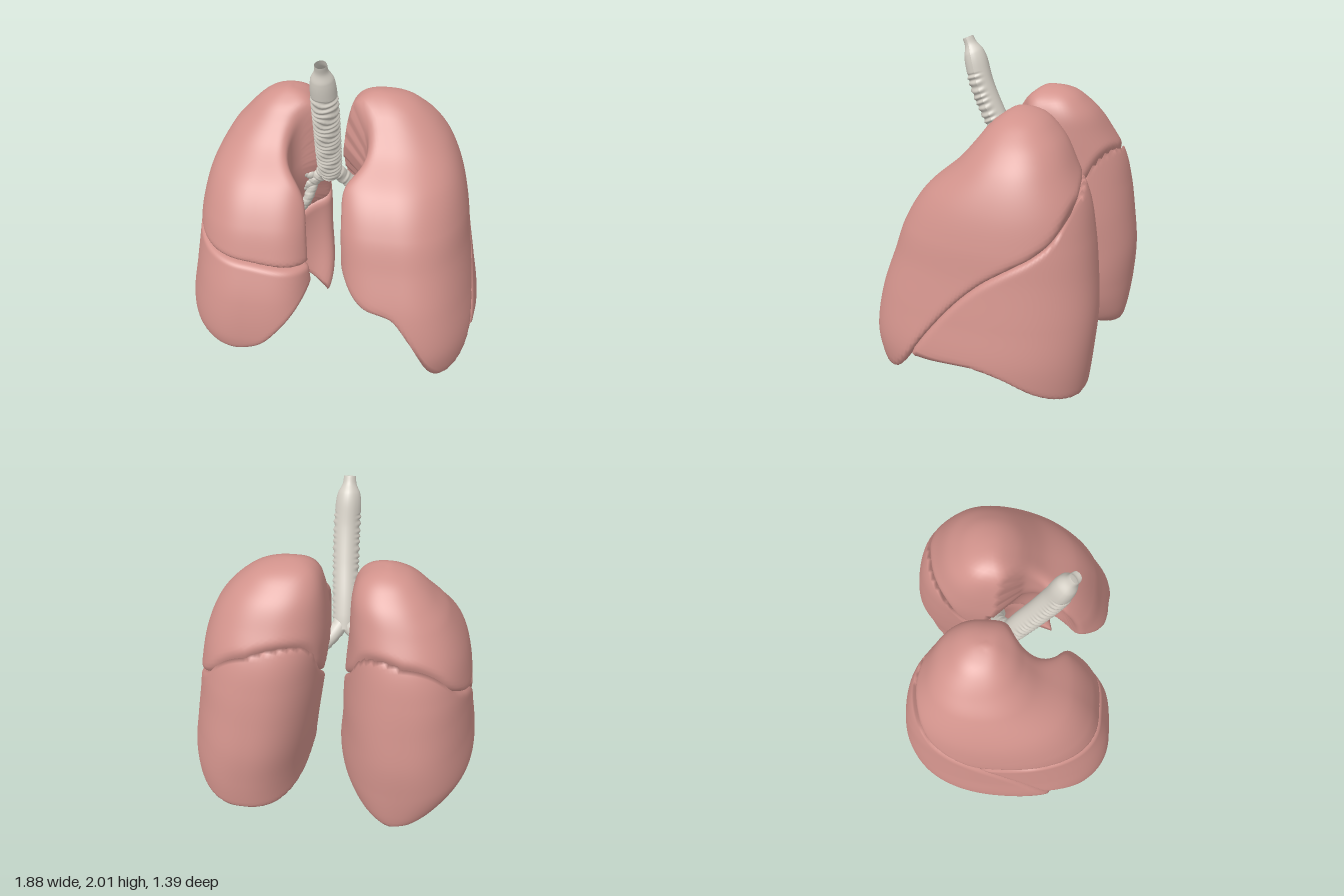
import * as THREE from 'three';
import { mergeVertices } from 'three/addons/utils/BufferGeometryUtils.js';

const lungMat = new THREE.MeshStandardMaterial({ color: 0xd2938c, side: THREE.DoubleSide });
const airwayMat = new THREE.MeshStandardMaterial({ color: 0xd5d0c6, side: THREE.DoubleSide });
const { smoothstep } = THREE.MathUtils;

// smooth function through [position, value] pairs, constant beyond the ends
function profile(...p) {
  const n = p.length - 1;
  const m = p.map((_, i) => {
    const a = p[Math.max(i - 1, 0)], b = p[Math.min(i + 1, n)];
    return (b[1] - a[1]) / (b[0] - a[0]);
  });
  return t => {
    if (t <= p[0][0]) return p[0][1];
    if (t >= p[n][0]) return p[n][1];
    let i = 0;
    while (t > p[i + 1][0]) i++;
    const h = p[i + 1][0] - p[i][0], s = (t - p[i][0]) / h, s2 = s * s, s3 = s2 * s;
    return (2 * s3 - 3 * s2 + 1) * p[i][1] + (s3 - 2 * s2 + s) * h * m[i]
      + (3 * s2 - 2 * s3) * p[i + 1][1] + (s3 - s2) * h * m[i + 1];
  };
}

// maximum with a rounded edge
function smax(a, b, k = 0.035) {
  const h = Math.max(k - Math.abs(a - b), 0) / k;
  return Math.max(a, b) + h * h * k / 4;
}

const mix = (a, b, t) => a + (b - a) * t;

// outline by height, shared front and back edges
const zBack = profile([0, -0.64], [0.1, -0.66], [0.3, -0.68], [0.55, -0.69], [0.8, -0.665], [1, -0.635],
  [1.2, -0.585], [1.38, -0.49], [1.5, -0.42], [1.58, -0.345], [1.63, -0.28], [1.66, -0.2], [1.67, -0.13]);
const zFront = profile([0, 0.62], [0.15, 0.67], [0.3, 0.695], [0.55, 0.665], [0.8, 0.585], [1, 0.515],
  [1.2, 0.39], [1.38, 0.19], [1.5, 0.09], [1.58, 0.03], [1.63, -0.03], [1.66, -0.08], [1.67, -0.12]);

// each lung: inner and outer edge by height, groove beside the airway, width of the heart hollow
const LEFT = {
  side: 1,
  inner: profile([0, 0.14], [0.2, 0.125], [0.5, 0.08], [0.8, 0.04], [1, 0.02], [1.2, 0.01], [1.38, 0.025],
    [1.5, 0.045], [1.58, 0.07], [1.63, 0.11], [1.66, 0.17], [1.67, 0.23]),
  outer: profile([0, 0.92], [0.3, 0.935], [0.55, 0.895], [0.8, 0.85], [1, 0.82], [1.2, 0.77], [1.38, 0.69],
    [1.5, 0.6], [1.58, 0.51], [1.63, 0.43], [1.66, 0.33], [1.67, 0.24]),
  groove: [0.05, 0.12, 0.145], heart: 0.33,
};
const RIGHT = {
  side: -1,
  inner: profile([0, 0.22], [0.06, 0.14], [0.2, 0.07], [0.35, 0.05], [0.6, 0.065], [0.8, 0.07], [1, 0.085],
    [1.2, 0.105], [1.4, 0.115], [1.5, 0.125], [1.58, 0.155], [1.63, 0.21], [1.655, 0.27], [1.665, 0.33]),
  outer: profile([0, 0.7], [0.06, 0.8], [0.2, 0.91], [0.33, 0.95], [0.6, 0.915], [0.8, 0.89], [1, 0.865],
    [1.2, 0.81], [1.4, 0.7], [1.5, 0.61], [1.58, 0.53], [1.63, 0.46], [1.655, 0.39], [1.665, 0.34]),
  groove: [0.13, 0.15, 0.155], heart: 0.34,
};

// grooves between lobes, and the lower margins at the front
const obliqueCurve = profile([-0.62, 1.34], [-0.55, 1.25], [-0.48, 1.07], [-0.38, 0.97], [-0.25, 0.89], [-0.1, 0.79],
  [0.05, 0.65], [0.2, 0.47], [0.3, 0.33], [0.38, 0.2], [0.46, 0.11], [0.57, 0.05]);
// the groove stays high where the back turns towards the spine
const oblique = (x, z) => obliqueCurve(z - 0.35 * Math.max(0, 0.45 - x) * smoothstep(-z, 0, 0.4));
const horizontal = profile([0.08, 0.74], [0.4, 0.78], [0.7, 0.82], [0.9, 0.89]);
const leftMargin = profile([0.03, 0.88], [0.08, 0.75], [0.15, 0.64], [0.25, 0.565], [0.42, 0.52], [0.5, 0.43],
  [0.6, 0.27], [0.67, 0.13], [0.78, 0.06], [0.88, 0.11], [0.94, 0.3]);
const rightMargin = profile([0.08, 0.64], [0.15, 0.51], [0.25, 0.38], [0.4, 0.235], [0.6, 0.19], [0.8, 0.25],
  [0.92, 0.4]);
// rims of the undersides, lower towards the spine
const leftRim = profile([-0.66, 0.05], [-0.45, 0.14], [-0.25, 0.25], [-0.05, 0.295], [0.33, 0.27]);
const rightRim = profile([-0.66, -0.015], [-0.45, 0.05], [-0.25, 0.16], [0, 0.26], [0.3, 0.3]);
const rimDepth = (x, z) => z - 0.45 * Math.max(0, 0.5 - x);

// position relative to the outline: 0 at the middle, 1 at the wall, squarer at the inner front margin
function radial(lung, x, y, z) {
  const a = lung.inner(y), b = lung.outer(y), c = zBack(y), d = zFront(y);
  const u = (2 * x - a - b) / Math.max(b - a, 0.004);
  const v = (2 * z - c - d) / Math.max(d - c, 0.004);
  const n = u < 0 && v > 0 ? 4 : 2.25;
  return Math.pow(Math.abs(u) ** n + Math.abs(v) ** n, 1 / n);
}

// negative inside the whole lung
function body(lung, r, x, y, z) {
  const [gx, gz, gr] = lung.groove;
  const groove = gr - Math.hypot(x - gx, z - gz);
  const heart = 0.3 * (1 - Math.hypot(x / lung.heart, (y - 0.7) / 0.55, (z - 0.13) / 0.3));
  let f = smax((r - 1) * 0.38, groove, 0.08);
  f = smax(f, heart, 0.06);
  return smax(f, y - 1.67, 0.02);
}

// a hollow underside rising from the rim to a domed roof
const dome = (rim, roof, r) => mix(Math.max(rim, roof), rim, Math.min((r / 0.96) ** 2, 1));
const GAP = 0.003;

const lobes = [
  { name: 'leftUpperLobe', lung: LEFT, centre: [0.5, 0.97, 0.24],
    cut: (x, y, z, r) => smax((oblique(x, z) + GAP - y) * 0.7, (dome(leftMargin(x), 0.45, r) - y) * 0.7, 0.04) },
  { name: 'leftLowerLobe', lung: LEFT, centre: [0.5, 0.64, -0.34],
    cut: (x, y, z, r) => smax((y - oblique(x, z) + GAP) * 0.7, dome(leftRim(rimDepth(x, z)), 0.42, r) - y) - 0.004 },
  { name: 'rightUpperLobe', lung: RIGHT, centre: [0.5, 1.1, 0.1],
    cut: (x, y, z) => smax((oblique(x, z) + GAP - y) * 0.7, horizontal(x) + GAP - y) },
  { name: 'rightMiddleLobe', lung: RIGHT, centre: [0.5, 0.62, 0.38],
    cut: (x, y, z, r) => smax(smax((oblique(x, z) + GAP - y) * 0.7, y - horizontal(x) + GAP),
      dome(rightMargin(x), 0.48, r) - y) },
  { name: 'rightLowerLobe', lung: RIGHT, centre: [0.5, 0.64, -0.34],
    cut: (x, y, z, r) => smax((y - oblique(x, z) + GAP) * 0.7, dome(rightRim(rimDepth(x, z)), 0.42, r) - y) - 0.004 },
];

// push a sphere outwards from the middle of the lobe until it meets the lobe's wall
function makeLobe({ name, lung, centre, cut }) {
  let geo = new THREE.IcosahedronGeometry(1, 33);
  geo.deleteAttribute('normal');
  geo.deleteAttribute('uv');
  geo = mergeVertices(geo, 1e-5);
  const pos = geo.attributes.position, dir = new THREE.Vector3();
  const [cx, cy, cz] = centre;
  const field = t => {
    const x = cx + dir.x * lung.side * t, y = cy + dir.y * t, z = cz + dir.z * t;
    const r = radial(lung, x, y, z);
    return smax(body(lung, r, x, y, z), cut(x, y, z, r));
  };
  for (let i = 0; i < pos.count; i++) {
    dir.fromBufferAttribute(pos, i).normalize();
    let lo = 0, hi = 0.03;
    while (hi < 1.5 && field(hi) < 0) { lo = hi; hi += 0.03; }
    for (let k = 0; k < 12; k++) {
      const mid = (lo + hi) / 2;
      if (field(mid) < 0) lo = mid; else hi = mid;
    }
    pos.setXYZ(i, cx * lung.side + dir.x * lo, cy + dir.y * lo, cz + dir.z * lo);
  }
  geo.computeVertexNormals();
  const mesh = new THREE.Mesh(geo, lungMat);
  mesh.name = name;
  return mesh;
}

// ribbed tube: radius follows a profile, cartilage rings on the front only
function makeAirway(name, points, radius, rings, from = 0) {
  const curve = new THREE.CatmullRomCurve3(points.map(p => new THREE.Vector3(...p)));
  const rows = rings * 8, sides = 24;
  const geo = new THREE.TubeGeometry(curve, rows, 1, sides);
  const pos = geo.attributes.position, v = new THREE.Vector3();
  for (let i = 0; i <= rows; i++) {
    const t = i / rows, c = curve.getPointAt(t);
    for (let j = 0; j <= sides; j++) {
      const k = i * (sides + 1) + j;
      v.fromBufferAttribute(pos, k).sub(c);
      const front = smoothstep(v.z, -0.6, 0);
      const wave = Math.sin(t * rings * Math.PI * 2 + Math.sin(v.x * 3 + t * 40) * 0.9);
      const ripple = t > from ? 0.06 * front * wave : 0;
      v.multiplyScalar(radius(t) * (1 + ripple - 0.12 * (1 - front)));
      pos.setXYZ(k, c.x + v.x, c.y + v.y, c.z + v.z);
    }
  }
  geo.computeVertexNormals();
  const mesh = new THREE.Mesh(geo, airwayMat);
  mesh.name = name;
  return mesh;
}

export function createModel() {
  const model = new THREE.Group();
  model.name = 'lungs';
  lobes.forEach(l => model.add(makeLobe(l)));

  const airways = new THREE.Group();
  airways.name = 'airways';
  airways.add(makeAirway('trachea',
    [[-0.045, 1.985, 0.33], [-0.045, 1.88, 0.285], [-0.04, 1.7, 0.235], [-0.045, 1.5, 0.15], [-0.055, 1.3, 0.05], [-0.06, 1.12, -0.03]],
    profile([0, 0.036], [0.05, 0.042], [0.11, 0.068], [0.2, 0.078], [0.6, 0.079], [0.9, 0.076], [1, 0.065]), 24, 0.23));
  // main branches and their first divisions
  const branches = [
    ['leftBronchus', [[-0.05, 1.17, -0.02], [0.02, 1.08, -0.08], [0.12, 0.98, -0.12], [0.28, 0.9, -0.15]], 0.052, 8],
    ['rightBronchus', [[-0.07, 1.17, -0.02], [-0.13, 1.1, -0.05], [-0.22, 1.02, -0.06], [-0.34, 0.93, -0.08]], 0.052, 8],
    ['leftLowerBranch', [[0.09, 1.01, -0.11], [0.15, 0.9, -0.09], [0.24, 0.76, -0.1]], 0.034, 6],
    ['rightUpperBranch', [[-0.15, 1.09, -0.05], [-0.24, 1.12, -0.02], [-0.36, 1.18, 0]], 0.036, 6],
    ['rightLowerBranch', [[-0.17, 1.06, -0.06], [-0.21, 0.92, -0.04], [-0.29, 0.77, -0.08]], 0.036, 6],
  ];
  for (const [name, path, r, rings] of branches)
    airways.add(makeAirway(name, path, t => r * (1 - 0.25 * t), rings));
  model.add(airways);
  return model;
}
